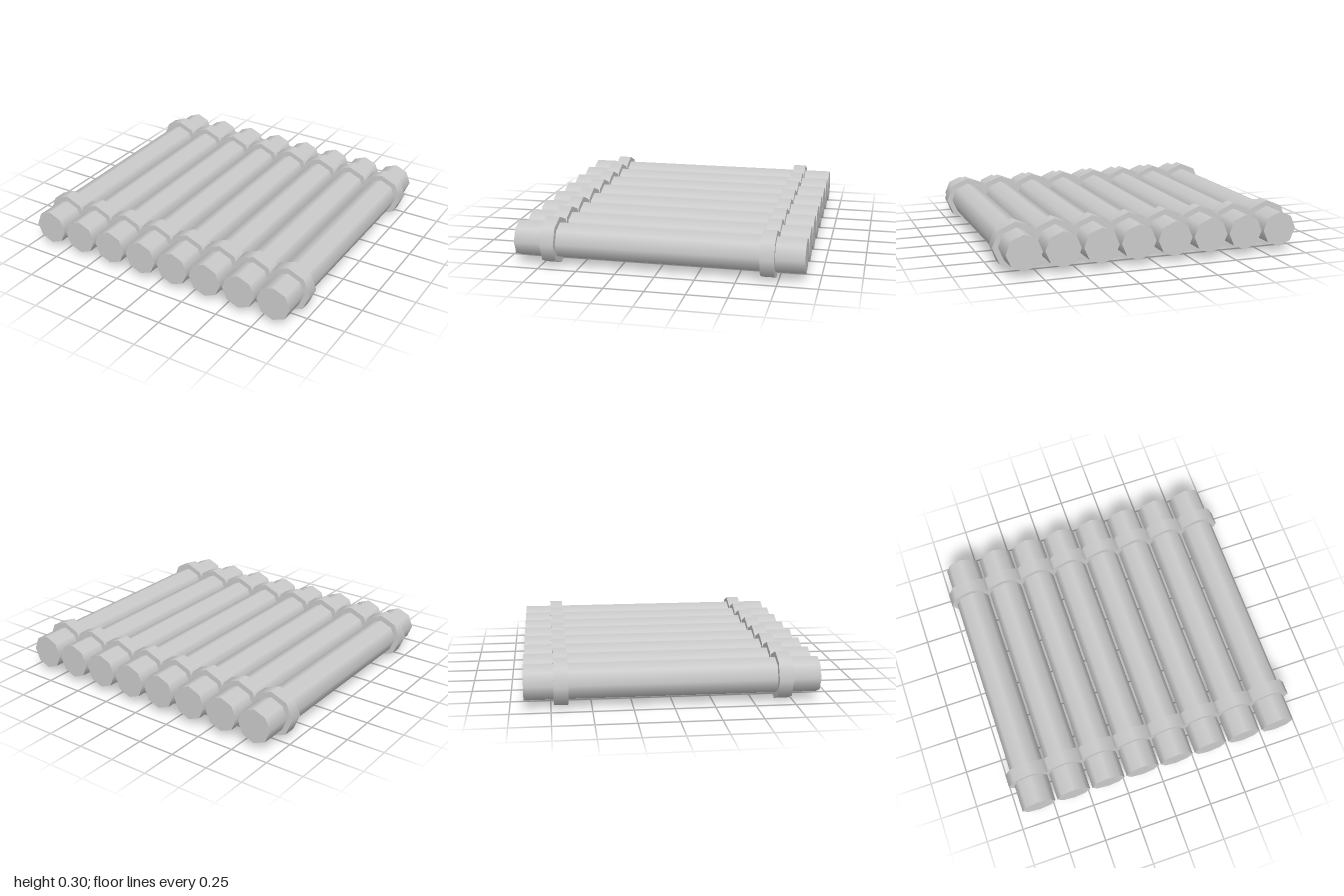
import * as THREE from 'three';

const COUNT = 8, LOG_R = 0.114, BAND_R = 0.151;
const SPACING = (2 - 2 * BAND_R) / (COUNT - 1);

export function createModel() {
  const model = new THREE.Group();
  model.name = 'logRaft';
  const material = new THREE.MeshStandardMaterial({ color: 0xcccccc });

  // Eight-sided cylinder lying along z, with a corner at the top
  const lyingCylinder = (radius, length) =>
    new THREE.CylinderGeometry(radius, radius, length, 8).rotateX(Math.PI / 2);

  const logGeometry = lyingCylinder(LOG_R, 1.828);
  const bandGeometry = lyingCylinder(BAND_R, 0.088);

  const add = (parent, geometry, name, z) => {
    const mesh = new THREE.Mesh(geometry, material);
    mesh.name = name;
    mesh.position.z = z;
    parent.add(mesh);
  };

  // A row of logs, each wrapped by a binding near either end
  for (let i = 0; i < COUNT; i++) {
    const boundLog = new THREE.Group();
    boundLog.name = `boundLog${i + 1}`;
    boundLog.position.set((i - (COUNT - 1) / 2) * SPACING, BAND_R, 0);
    add(boundLog, logGeometry, 'log', 0);
    add(boundLog, bandGeometry, 'frontBinding', 0.688);
    add(boundLog, bandGeometry, 'backBinding', -0.688);
    model.add(boundLog);
  }
  return model;
}
